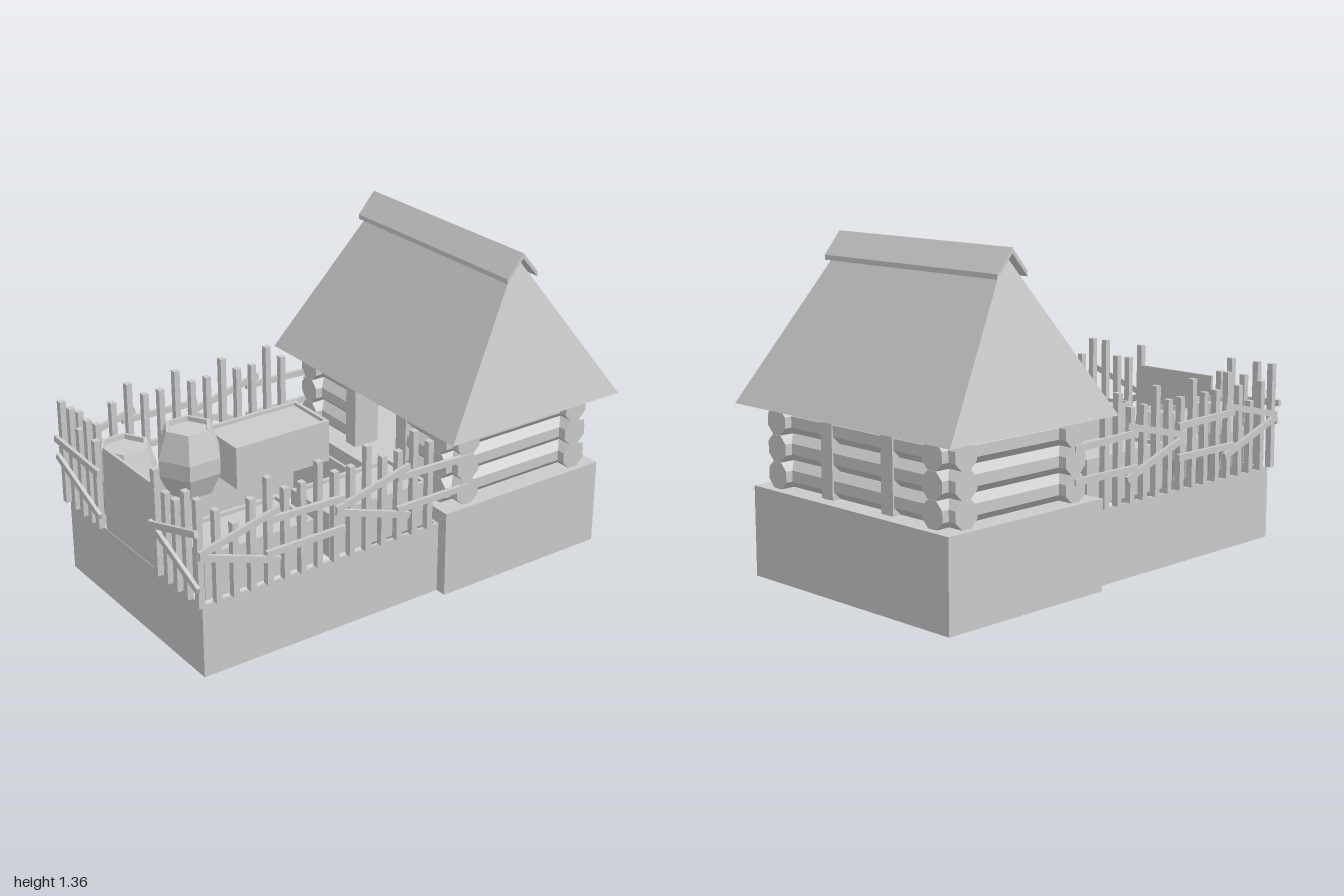
import * as THREE from 'three';

const mat = new THREE.MeshStandardMaterial({ color: 0xcccccc, flatShading: true, side: THREE.DoubleSide });

export function createModel() {
  const model = new THREE.Group();

  const add = (name, geo, x = 0, y = 0, z = 0, parent = model) => {
    const m = new THREE.Mesh(geo, mat);
    m.name = name;
    m.position.set(x, y, z);
    parent.add(m);
    return m;
  };
  // Box given by its extents on each axis
  const box = (name, [x0, x1], [y0, y1], [z0, z1], parent = model) =>
    add(name, new THREE.BoxGeometry(x1 - x0, y1 - y0, z1 - z0),
      (x0 + x1) / 2, (y0 + y1) / 2, (z0 + z1) / 2, parent);

  // Four thin walls, open above and below
  const walls = (name, [x0, x1], [y0, y1], [z0, z1], t) => {
    const rect = (C, d) => new C([[x0 + d, z0 + d], [x1 - d, z0 + d], [x1 - d, z1 - d], [x0 + d, z1 - d]]
      .map(([x, z]) => new THREE.Vector2(x, -z)));
    const s = rect(THREE.Shape, 0);
    s.holes.push(rect(THREE.Path, t));
    const g = new THREE.ExtrudeGeometry(s, { depth: y1 - y0, bevelEnabled: false });
    g.rotateX(-Math.PI / 2);
    return add(name, g, 0, y0, 0);
  };

  // Foundations
  walls('yardWalls', [-0.515, 0.515], [0, 0.31], [-0.15, 0.96], 0.012);
  walls('houseFoundation', [-0.567, 0.563], [0, 0.36], [-0.96, -0.15], 0.012);
  box('houseFloor', [-0.567, 0.563], [0.355, 0.37], [-0.96, -0.15]);

  // Log walls with crossed corners
  const house = new THREE.Group();
  house.name = 'logHouse';
  model.add(house);
  const log = (name, length, x, y, z, alongX) => {
    const g = new THREE.CylinderGeometry(0.058, 0.058, length, 8);
    g.rotateY(Math.PI / 8);
    if (alongX) g.rotateZ(Math.PI / 2); else g.rotateX(Math.PI / 2);
    add(name, g, x, y, z, house);
  };
  for (const y of [0.425, 0.533, 0.641]) {
    log('backLog', 1.08, 0, y, -0.845, true);
    for (const s of [-1, 1]) {
      log('sideLog', 0.74, s * 0.45, y, -0.56, false);
      log('frontLog', 0.36, s * 0.36, y, -0.275, true);
    }
  }
  for (const s of [-1, 1]) {
    const x = s * 0.175;
    box('doorPost', [x - 0.033, x + 0.033], [0.37, 0.7], [-0.335, -0.215], house);
    box('backPost', [x - 0.033, x + 0.033], [0.37, 0.7], [-0.905, -0.785], house);
  }
  box('doorLintel', [-0.145, 0.145], [0.67, 0.69], [-0.33, -0.22], house);

  // Hipped roof: a hollow shell
  const A = [-0.622, 0.7, -0.125], B = [0.622, 0.7, -0.125], C = [0.622, 0.7, -1], D = [-0.622, 0.7, -1];
  const R = [-0.45, 1.335, -0.562], S = [0.45, 1.335, -0.562];
  const roof = new THREE.BufferGeometry();
  roof.setAttribute('position', new THREE.Float32BufferAttribute(
    [A, B, S, A, S, R, C, D, R, C, R, S, B, C, S, D, A, R].flat(), 3));
  roof.computeVertexNormals();
  add('roof', roof);

  // Ridge cap
  const cap = new THREE.Shape([[-0.078, 1.25], [0, 1.34], [0.078, 1.25], [0.078, 1.27], [0, 1.362], [-0.078, 1.27]]
    .map(p => new THREE.Vector2(...p)));
  const capGeo = new THREE.ExtrudeGeometry(cap, { depth: 0.98, bevelEnabled: false });
  capGeo.translate(0, 0, -0.49);
  capGeo.rotateY(Math.PI / 2);
  add('ridgeCap', capGeo, 0, 0, -0.562);

  // Fences
  const picket = (x, z, top) => box('picket', [x - 0.014, x + 0.014], [0.31, top], [z - 0.013, z + 0.013]);
  // Rail between two points in a vertical plane
  const rail = (a, b) => {
    const p = new THREE.Vector3(...a), q = new THREE.Vector3(...b);
    const m = add('fenceRail', new THREE.BoxGeometry(0.016, 0.027, p.distanceTo(q)));
    m.position.copy(p).lerp(q, 0.5);
    m.lookAt(q);
  };

  const tops = [0.76, 0.695, 0.62, 0.695, 0.76, 0.695, 0.695, 0.76, 0.695, 0.695, 0.76, 0.695, 0.695, 0.76, 0.695];
  const sideRails = [[0.98, 0.54, 0.63, 0.625], [0.98, 0.53, 0.63, 0.41], [0.69, 0.59, 0.33, 0.58], [0.69, 0.45, 0.33, 0.45]];
  for (const s of [-1, 1]) {
    tops.forEach((top, i) => picket(s * 0.518, 0.97 - i * 0.0757, top));
    for (const shift of [0, 0.61])
      for (const [z0, y0, z1, y1] of sideRails)
        rail([s * 0.538, y0, z0 - shift], [s * 0.538, y1, z1 - shift]);
  }
  const frontPickets = [[-0.44, 0.76], [-0.37, 0.695], [-0.3, 0.76], [-0.24, 0.695],
    [0.22, 0.76], [0.295, 0.695], [0.365, 0.695], [0.437, 0.76]];
  for (const [x, top] of frontPickets) picket(x, 0.97, top);
  for (const [x0, y0, x1, y1] of [[-0.55, 0.59, -0.19, 0.575], [-0.54, 0.515, -0.2, 0.38],
    [0.2, 0.525, 0.54, 0.63], [0.2, 0.535, 0.54, 0.395]])
    rail([x0, y0, 0.99], [x1, y1, 0.99]);
  box('gate', [-0.21, 0.205], [0.305, 0.672], [0.945, 0.958]);

  // Crates with a recessed top
  for (const [x0, x1, z0, z1] of [[-0.455, -0.2, -0.12, 0.35], [0.232, 0.49, -0.11, 0.37], [0.232, 0.49, 0.44, 0.93]]) {
    walls('crateWalls', [x0, x1], [0.31, 0.5], [z0, z1], 0.016);
    box('crateFilling', [x0 + 0.01, x1 - 0.01], [0.312, 0.485], [z0 + 0.01, z1 - 0.01]);
  }

  // Six-sided barrels with a recessed lid
  const profile = [[0, 0.31], [0.1, 0.31], [0.146, 0.41], [0.146, 0.48], [0.105, 0.6], [0.09, 0.6], [0.088, 0.58], [0, 0.58]]
    .map(p => new THREE.Vector2(...p));
  for (const z of [0.503, 0.802]) add('barrel', new THREE.LatheGeometry(profile, 6), -0.322, 0, z);

  return model;
}
